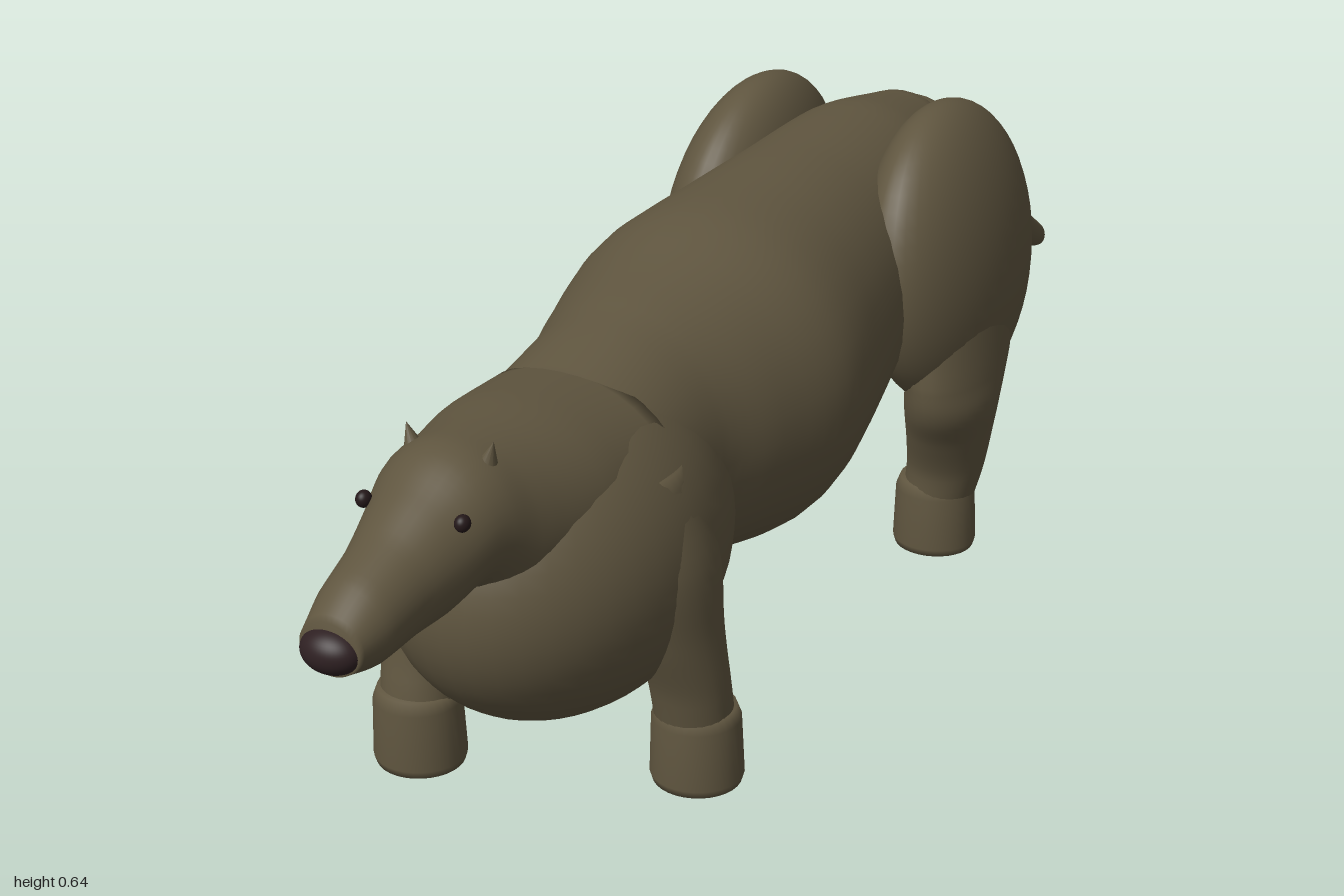
import * as THREE from 'three';

const fur = new THREE.MeshStandardMaterial({ name: 'olive brown fur', color: 0x5f553f });
const dark = new THREE.MeshStandardMaterial({ name: 'dark nose', color: 0x2e2022 });
const eyeDark = new THREE.MeshStandardMaterial({ name: 'eye brown', color: 0x241819 });

// Smooth closed loft through ellipses [t, x, c, rx, rc], t increasing along the axis.
// Axis 'z': t = z, c = y. Axis 'y': t = y, c = z.
function loft(axis, rings, sides = 36, sub = 6) {
  const mid = new THREE.CatmullRomCurve3(rings.map(r => new THREE.Vector3(r[0], r[1], r[2])));
  const rad = new THREE.CatmullRomCurve3(rings.map(r => new THREE.Vector3(r[3], r[4], 0)));
  const steps = (rings.length - 1) * sub;
  const pos = [], idx = [];
  const put = (t, x, c) => (axis === 'z' ? pos.push(x, c, t) : pos.push(x, t, c));
  const dir = axis === 'z' ? 1 : -1;
  for (let i = 0; i <= steps; i++) {
    const m = mid.getPoint(i / steps), r = rad.getPoint(i / steps);
    for (let j = 0; j < sides; j++) {
      const a = (j / sides) * Math.PI * 2;
      put(m.x, m.y + r.x * Math.cos(a), m.z + dir * r.y * Math.sin(a));
    }
  }
  for (let i = 0; i < steps; i++) {
    for (let j = 0; j < sides; j++) {
      const a = i * sides + j, b = i * sides + ((j + 1) % sides);
      idx.push(a, b, a + sides, b, b + sides, a + sides);
    }
  }
  // End caps
  const n = (steps + 1) * sides, last = steps * sides;
  const first = rings[0], end = rings[rings.length - 1];
  put(first[0], first[1], first[2]);
  put(end[0], end[1], end[2]);
  for (let j = 0; j < sides; j++) {
    const k = (j + 1) % sides;
    idx.push(n, k, j, n + 1, last + j, last + k);
  }
  const g = new THREE.BufferGeometry();
  g.setAttribute('position', new THREE.Float32BufferAttribute(pos, 3));
  g.setIndex(idx);
  g.computeVertexNormals();
  return g;
}

export function createModel() {
  const model = new THREE.Group();
  model.name = 'animal';
  const add = (name, geo, mat, x = 0, y = 0, z = 0) => {
    const mesh = new THREE.Mesh(geo, mat);
    mesh.name = name;
    mesh.position.set(x, y, z);
    model.add(mesh);
    return mesh;
  };
  const ball = (name, mat, p, s) => {
    const m = add(name, new THREE.SphereGeometry(1, 40, 28), mat, ...p);
    m.scale.set(...s);
    return m;
  };

  // Trunk from rump to shoulders
  add('trunk', loft('z', [
    [-0.475, 0, 0.48, 0.05, 0.07],
    [-0.44, 0, 0.46, 0.11, 0.13],
    [-0.3, 0, 0.447, 0.15, 0.167],
    [-0.12, 0, 0.416, 0.17, 0.196],
    [0, 0, 0.392, 0.19, 0.217],
    [0.14, 0, 0.378, 0.212, 0.223],
    [0.28, 0, 0.375, 0.18, 0.195],
    [0.38, 0, 0.374, 0.15, 0.174],
    [0.52, 0, 0.36, 0.15, 0.157],
  ]), fur);
  ball('chest', fur, [0, 0.31, 0.515], [0.192, 0.208, 0.258]);

  // Neck, head and muzzle
  add('head', loft('z', [
    [0.48, 0, 0.4, 0.15, 0.118],
    [0.6, 0, 0.41, 0.135, 0.12],
    [0.7, 0, 0.42, 0.105, 0.113],
    [0.76, 0, 0.445, 0.087, 0.085],
    [0.82, 0, 0.425, 0.07, 0.075],
    [0.87, 0, 0.411, 0.058, 0.062],
    [0.93, 0, 0.397, 0.05, 0.052],
    [0.975, 0, 0.388, 0.038, 0.032],
  ]), fur);
  ball('nose', dark, [0, 0.385, 0.97], [0.037, 0.026, 0.027]);

  // Tail
  add('tail', loft('z', [
    [-1, 0, 0.178, 0.008, 0.01],
    [-0.985, 0, 0.184, 0.016, 0.02],
    [-0.9, 0, 0.228, 0.025, 0.035],
    [-0.72, 0, 0.35, 0.05, 0.073],
    [-0.5, 0, 0.475, 0.077, 0.09],
    [-0.475, 0, 0.49, 0.078, 0.082],
    [-0.43, 0, 0.5, 0.06, 0.06],
  ]), fur);

  // Paired parts
  for (const s of [1, -1]) {
    const side = s > 0 ? 'left' : 'right';
    const thigh = ball(side + 'Thigh', fur, [s * 0.152, 0.43, -0.268], [0.092, 0.212, 0.207]);
    thigh.rotation.z = s * 0.1;
    ball(side + 'Eye', eyeDark, [s * 0.064, 0.477, 0.812], [0.009, 0.01, 0.01]);
    const ear = add(side + 'Ear', new THREE.ConeGeometry(0.014, 0.035, 12), fur, s * 0.052, 0.523, 0.735);
    ear.rotation.z = -s * 0.3;
  }

  // Legs in mid stride: each is a limb loft over a rounded foot
  const legs = {
    leftFrontLeg: [[0.08, 0.16, 0.478, 0.05, 0.046], [0.14, 0.16, 0.49, 0.051, 0.047],
      [0.22, 0.155, 0.505, 0.052, 0.06], [0.32, 0.148, 0.515, 0.053, 0.075], [0.43, 0.12, 0.52, 0.04, 0.055]],
    rightFrontLeg: [[0.08, -0.16, 0.597, 0.05, 0.046], [0.14, -0.16, 0.585, 0.051, 0.047],
      [0.22, -0.155, 0.555, 0.054, 0.065], [0.32, -0.148, 0.525, 0.053, 0.08], [0.43, -0.12, 0.515, 0.04, 0.055]],
    leftHindLeg: [[0.08, 0.166, -0.228, 0.05, 0.05], [0.13, 0.175, -0.23, 0.054, 0.057],
      [0.19, 0.183, -0.222, 0.058, 0.076], [0.24, 0.19, -0.213, 0.06, 0.095],
      [0.29, 0.188, -0.23, 0.06, 0.12], [0.42, 0.17, -0.25, 0.065, 0.13]],
    rightHindLeg: [[0.08, -0.166, -0.345, 0.05, 0.046], [0.13, -0.175, -0.33, 0.052, 0.046],
      [0.18, -0.183, -0.325, 0.057, 0.058], [0.24, -0.19, -0.255, 0.06, 0.11],
      [0.29, -0.188, -0.24, 0.06, 0.13], [0.42, -0.17, -0.25, 0.065, 0.13]],
  };
  const footZ = { leftFrontLeg: 0.478, rightFrontLeg: 0.597, leftHindLeg: -0.226, rightHindLeg: -0.346 };
  const profile = [[0, 0], [0.047, 0], [0.056, 0.004], [0.059, 0.014], [0.056, 0.09], [0.05, 0.106], [0, 0.112]]
    .map(p => new THREE.Vector2(...p));
  for (const [name, rings] of Object.entries(legs)) {
    add(name, loft('y', rings, 28), fur);
    const foot = add(name.replace('Leg', 'Foot'), new THREE.LatheGeometry(profile, 32), fur,
      Math.sign(rings[0][1]) * 0.162, 0, footZ[name]);
    foot.scale.z = 0.95;
  }
  return model;
}
